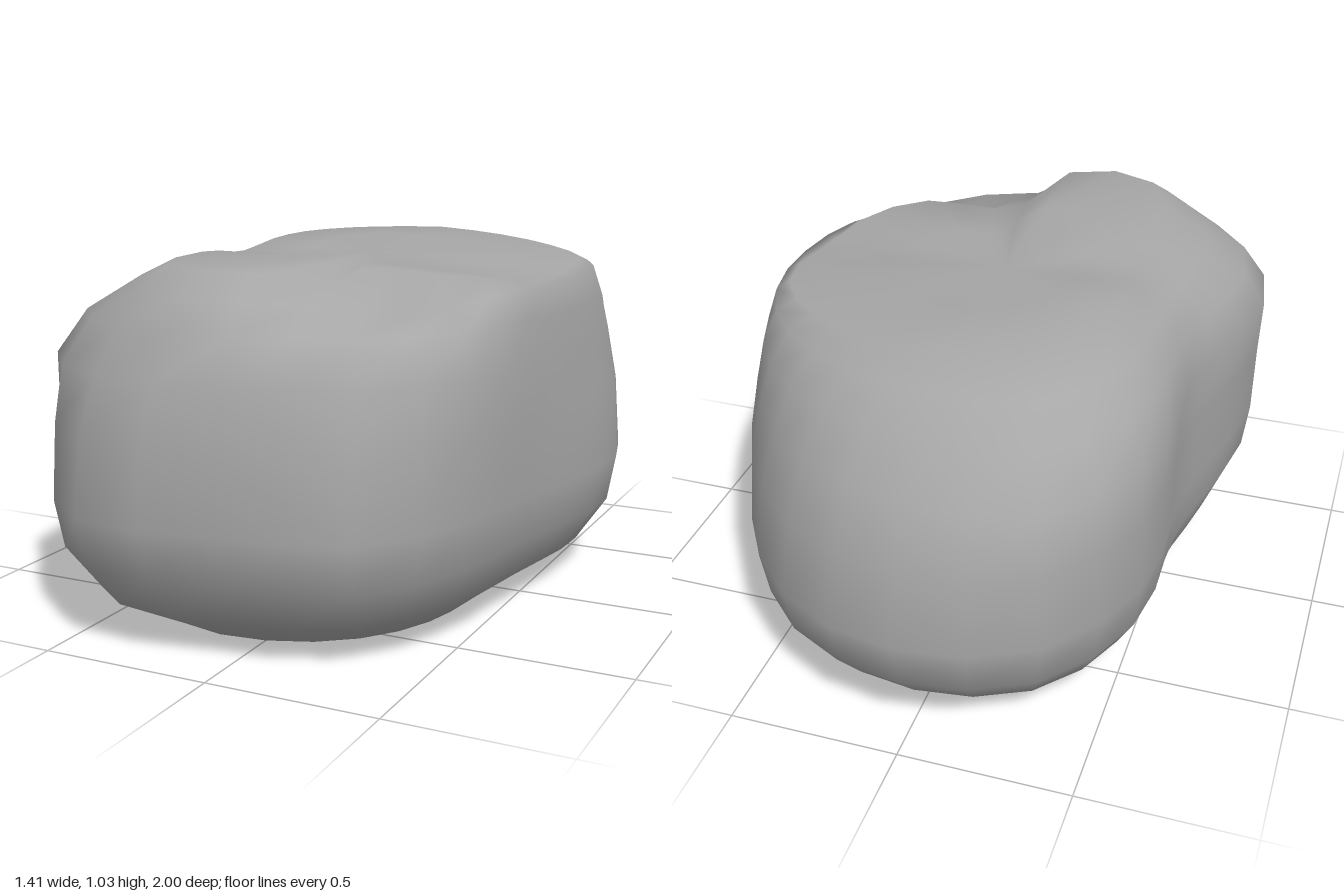
import * as THREE from 'three';

// Horizontal outlines: radii every 22.5 degrees from +x towards +z
const base = [.40, .42, .50, .60, .68, .72, .66, .52, .46, .46, .52, .60, .62, .62, .55, .45];
const girth = [.67, .66, .78, .95, .96, 1.06, .95, .72, .60, .63, .80, .96, 1.0, .95, .84, .76];
const shoulder = [.66, .66, .77, .87, .90, .98, .95, .73, .59, .63, .78, .90, .88, .84, .78, .72];
const brow = [.65, .64, .73, .81, .84, .90, .86, .67, .56, .59, .70, .78, .76, .76, .74, .70];
const rim = [.64, .63, .63, .52, .80, .83, .70, .54, .49, .51, .60, .68, .67, .67, .68, .67];
const crown = [.60, .60, .54, .41, .70, .74, .52, .42, .39, .40, .46, .52, .56, .58, .60, .63];

const blend = (p, q, f) => p.map((v, i) => v + (q[i] - v) * f);
const sections = [
  { y: 0, r: base },
  { y: 0.11, r: blend(girth, base, 0.38) },
  { y: 0.24, r: blend(girth, base, 0.08) },
  { y: 0.38, r: girth },
  { y: 0.6, r: blend(girth, shoulder, 0.35) },
  { y: 0.76, r: shoulder },
  { y: 0.88, r: brow },
  { y: 0.97, r: rim },
  { y: 1.03, r: crown },
  { y: 1.03, r: crown.map((v) => v * 0.55) },
];
const SIDES = 32;

// Smooth closed interpolation of the radii
function radiusAt(r, t) {
  const n = r.length, i = Math.floor(t), f = t - i;
  const [a, b, c, d] = [-1, 0, 1, 2].map((k) => r[(i + k + n) % n]);
  return b + 0.5 * f * (c - a + f * (2 * a - 5 * b + 4 * c - d + f * (3 * (b - c) + d - a)));
}

const bump = (v, centre, width) => Math.exp(-(((v - centre) / width) ** 2));

// Broken front corner below the crown; the crown slopes to +x and dips near the middle
function weather(x, y, z, t) {
  if (y < 0.9) return y;
  if (y < 1) return y - 0.075 * bump(t, 2.6, 0.9);
  const valley = Math.hypot(x, z) > 0.4 ? 0.06 * bump(t, 3.5, 0.35) : 0;
  return y - 0.06 * Math.max(0, x) - 0.03 * bump(z, 0.1, 0.16) - valley;
}

function boulderGeometry() {
  const pos = [], index = [];
  for (const { y, r } of sections) {
    for (let j = 0; j < SIDES; j++) {
      const a = (j / SIDES) * Math.PI * 2, t = (j / SIDES) * r.length;
      const d = radiusAt(r, t);
      const x = Math.cos(a) * d, z = Math.sin(a) * d;
      pos.push(x, weather(x, y, z, t), z);
    }
  }
  const bottom = pos.length / 3, top = bottom + 1;
  pos.push(0, 0, 0, 0, 1.01, 0);
  const last = (sections.length - 1) * SIDES;
  for (let j = 0; j < SIDES; j++) {
    const k = (j + 1) % SIDES;
    for (let i = 0; i < last; i += SIDES) {
      index.push(i + j, i + SIDES + j, i + k, i + k, i + SIDES + j, i + SIDES + k);
    }
    // Base and crown
    index.push(bottom, j, k, top, last + k, last + j);
  }
  const g = new THREE.BufferGeometry();
  g.setAttribute('position', new THREE.Float32BufferAttribute(pos, 3));
  g.setIndex(index);
  g.computeVertexNormals();
  return g;
}

export function createModel() {
  const group = new THREE.Group();
  group.name = 'rock';
  const stone = new THREE.MeshStandardMaterial({ color: 0xa6a6a6 });
  stone.name = 'grey stone';
  const boulder = new THREE.Mesh(boulderGeometry(), stone);
  boulder.name = 'boulder';
  group.add(boulder);
  return group;
}
